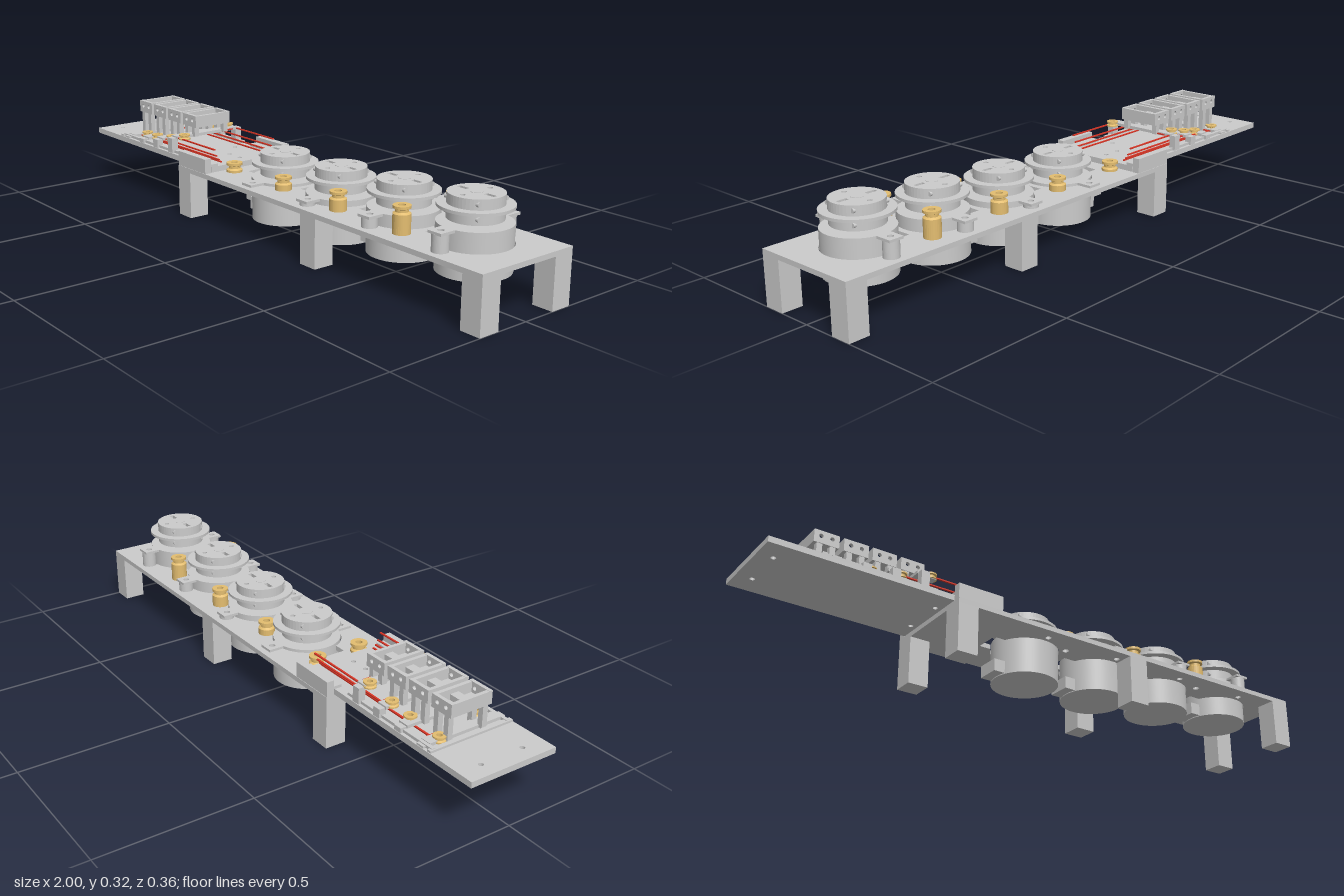
import * as THREE from 'three';

const mat = (name, color) => {
  const m = new THREE.MeshStandardMaterial({ color });
  m.name = name;
  return m;
};

export function createModel() {
  const grey = mat('light grey', 0xcbcbcb);
  const brass = mat('brass', 0xe3bd70);
  const red = mat('red', 0xdc3626);
  const model = new THREE.Group();
  model.name = 'motorRail';

  const add = (parent, name, geo, m, x = 0, y = 0, z = 0) => {
    const mesh = new THREE.Mesh(geo, m);
    mesh.name = name;
    mesh.position.set(x, y, z);
    parent.add(mesh);
    return mesh;
  };
  // box given by its limits on each axis
  const block = (parent, name, m, x0, x1, y0, y1, z0, z1) =>
    add(parent, name, new THREE.BoxGeometry(x1 - x0, y1 - y0, z1 - z0), m,
      (x0 + x1) / 2, (y0 + y1) / 2, (z0 + z1) / 2);
  const drum = (parent, name, m, r, y0, y1, n = 40) =>
    add(parent, name, new THREE.CylinderGeometry(r, r, y1 - y0, n), m, 0, (y0 + y1) / 2, 0);
  // flat plate lying on y = 0, cut from a shape in x and -z
  const slab = (shape, h) => new THREE.ExtrudeGeometry(shape,
    { depth: h, bevelEnabled: false, curveSegments: 24 }).rotateX(-Math.PI / 2);
  const rect = (C, x0, x1, y0, y1) => {
    const s = new C();
    s.moveTo(x0, y0); s.lineTo(x1, y0); s.lineTo(x1, y1); s.lineTo(x0, y1); s.closePath();
    return s;
  };
  const circle = (C, x, y, r) => {
    const s = new C();
    s.absarc(x, y, r, 0, Math.PI * 2, false);
    return s;
  };
  const { Shape, Path } = THREE;

  const motorX = [-0.035, 0.245, 0.525, 0.805];
  const motorBottom = [0.043, 0.053, 0.073, 0.095];
  const guides = [
    { x: -0.21, z: 0.08, top: 0.208 }, { x: 0.068, z: 0.089, top: 0.22 },
    { x: 0.347, z: 0.1, top: 0.237 }, { x: 0.627, z: 0.107, top: 0.26 },
  ];

  // Main deck with openings for motors, connectors, ear screws and cord guides
  const deck = rect(Shape, -0.4, 1, -0.181, 0.181);
  const a = Math.PI - Math.asin(0.042 / 0.113);
  for (const c of motorX) {
    const hole = new Path();
    hole.moveTo(c - 0.147, 0.042);
    hole.lineTo(c + 0.113 * Math.cos(a), 0.042);
    hole.absarc(c, 0, 0.113, a, -a, true);
    hole.lineTo(c - 0.147, -0.042);
    hole.closePath();
    deck.holes.push(hole);
    for (const s of [-1, 1]) deck.holes.push(circle(Path, c, s * 0.135, 0.01));
  }
  for (const p of guides.slice(1))
    for (const s of [-1, 1]) deck.holes.push(circle(Path, p.x, s * p.z, 0.011));
  add(model, 'deck', slab(deck, 0.016), grey, 0, 0.16, 0);

  // Legs
  for (const x of [-0.4, 0.265, 0.93])
    for (const s of [-1, 1])
      add(model, 'leg', new THREE.BoxGeometry(0.07, 0.161, 0.071), grey, x + 0.035, 0.0805, s * 0.1455);

  // Sliding base plate with screw holes
  const base = rect(Shape, -1, -0.24, -0.152, 0.152);
  for (const [x, z] of [[-0.95, 0.075], [-0.95, -0.075], [-0.42, 0.075], [-0.42, -0.075], [-0.35, 0], [-0.29, 0]])
    base.holes.push(circle(Path, x, z, 0.008));
  add(model, 'basePlate', slab(base, 0.019), grey, 0, 0.177, 0);

  // Side clamps that hold the base plate
  for (const s of [-1, 1]) {
    add(model, 'sideClamp', new THREE.BoxGeometry(0.16, 0.05, 0.025), grey, -0.32, 0.201, s * 0.167);
    add(model, 'clampLip', new THREE.BoxGeometry(0.16, 0.009, 0.03), grey, -0.32, 0.2005, s * 0.142);
  }

  // Motor: casing, ears, hollow posts, connector and two-step pulley
  const earPlate = rect(Shape, -0.025, 0.025, -0.16, 0.16);
  for (const s of [-1, 1]) earPlate.holes.push(circle(Path, 0, s * 0.135, 0.01));
  const post = circle(Shape, 0, 0, 0.0245);
  post.holes.push(circle(Path, 0, 0, 0.01));
  const wheel = circle(Shape, 0, 0, 0.082);
  for (const d of [-1, 1]) {
    wheel.holes.push(circle(Path, 0, d * 0.055, 0.008));
    wheel.holes.push(rect(Path, d * 0.05 - 0.017, d * 0.05 + 0.017, -0.007, 0.007));
  }
  motorX.forEach((c, i) => {
    const g = new THREE.Group();
    g.name = 'motor';
    g.position.set(c, motorBottom[i], 0);
    model.add(g);
    drum(g, 'motorCasing', grey, 0.11, 0, 0.141, 56);
    block(g, 'motorConnector', grey, -0.142, -0.09, 0.003, 0.044, -0.039, 0.039);
    add(g, 'motorEars', slab(earPlate, 0.008), grey, 0, 0.133, 0);
    const foot = 0.175 - motorBottom[i];
    if (foot < 0.131)
      for (const s of [-1, 1])
        add(g, 'earPost', slab(post, 0.133 - foot), grey, 0, foot, s * 0.136);
    drum(g, 'motorBoss', grey, 0.04, 0.14, 0.153);
    drum(g, 'lowerPulley', grey, 0.082, 0.151, 0.187, 48);
    drum(g, 'pulleyFlange', grey, 0.11, 0.185, 0.194, 56);
    add(g, 'upperPulley', slab(wheel, 0.032), grey, 0, 0.193, 0);
    drum(g, 'motorShaft', grey, 0.019, 0.193, 0.226, 24);
    // Cord anchor pegs in the pulley walls
    for (const y of [0.168, 0.21])
      for (const sx of [-1, 1])
        for (const sz of [-1, 1]) {
          const peg = add(g, 'cordPeg', new THREE.CylinderGeometry(0.007, 0.007, 0.012, 16), grey,
            sx * 0.057, y, sz * 0.055);
          peg.rotation.z = Math.PI / 2;
        }
  });

  // Brass cord guides, waisted like a spool and bored through
  const spool = (x, z, y0, y1, r) => {
    const h = y1 - y0, t = Math.min(0.008, h * 0.25), b = r * 0.42;
    const pts = [[b, 0], [r, 0], [r, h - 3 * t], [r * 0.72, h - 2.4 * t], [r * 0.72, h - 1.4 * t],
      [r, h - t], [r, h], [b, h], [b, 0]];
    const lathe = new THREE.LatheGeometry(pts.map(p => new THREE.Vector2(...p)), 28).toNonIndexed();
    lathe.computeVertexNormals();
    add(model, 'cordGuide', lathe, brass, x, y0, z);
  };
  for (const p of guides)
    for (const s of [-1, 1]) spool(p.x, s * p.z, 0.175, p.top, 0.027);

  // Sliding stages: carriage, stems and open head, with a brass guide at each end
  const stages = [
    { x: -0.79, y: 0.197, back: [-0.8, -0.09], front: [-0.751, 0.086] },
    { x: -0.693, y: 0.206, back: [-0.682, -0.096], front: [-0.66, 0.1] },
    { x: -0.597, y: 0.22, back: [-0.607, -0.102], front: [-0.559, 0.102] },
    { x: -0.5, y: 0.243, back: [-0.516, -0.112], front: [-0.463, 0.112] },
  ];
  const endWall = rect(Shape, -0.041, 0.041, 0, 0.042);
  endWall.holes.push(circle(Path, -0.018, 0.024, 0.007), circle(Path, 0.018, 0.024, 0.007));
  const endGeo = new THREE.ExtrudeGeometry(endWall, { depth: 0.012, bevelEnabled: false });
  stages.forEach(({ x, y, back, front }, i) => {
    const g = new THREE.Group();
    g.name = 'stage';
    g.position.x = x;
    model.add(g);
    block(g, 'carriage', grey, -0.018, 0.018, y, y + 0.01, -0.13, 0.13);
    for (const s of [-1, 1]) {
      block(g, 'carriageFoot', grey, -0.014, 0.014, 0.194, y + 0.005, s * 0.138 - 0.012, s * 0.138 + 0.012);
      for (const z of [-0.07, 0.055])
        block(g, 'stem', grey, s * 0.021 - 0.009, s * 0.021 + 0.009, y + 0.002, 0.283, z - 0.009, z + 0.009);
      block(g, 'headSide', grey, s * 0.035 - 0.006, s * 0.035 + 0.006, 0.279, 0.32, -0.081, 0.065);
    }
    block(g, 'headFloor', grey, -0.04, 0.04, 0.279, 0.287, -0.081, 0.065);
    for (const z of [-0.081, 0.054]) add(g, 'headEnd', endGeo, grey, 0, 0.279, z);
    block(g, 'headBridge', grey, -0.04, 0.04, 0.279, 0.305, -0.025, 0.005);

    // Guides on small arms, with pull cords running toward the motors
    for (const [gx, gz] of [back, front]) {
      const s = Math.sign(gz);
      spool(gx, gz, y + 0.002, y + 0.02, 0.02);
      block(model, 'guideArm', grey, Math.min(x, gx - 0.014), Math.max(x, gx + 0.014), y, y + 0.003, gz - 0.014, gz + 0.014);
      const z = s * (0.099 + i * 0.009);
      const cordY = y + 0.005;
      block(model, 'pullCord', red, x + 0.02, -0.26, cordY - 0.002, cordY + 0.002, z - 0.003, z + 0.003);
    }
    block(model, 'crossCord', red, x + 0.019, x + 0.024, y + 0.003, y + 0.007, -0.108, -0.07);
  });

  // Guide rails and end stop on the base plate
  for (const s of [-1, 1])
    add(model, 'guideRail', new THREE.BoxGeometry(0.38, 0.01, 0.012), grey, -0.64, 0.2, s * 0.135);
  block(model, 'endStop', grey, -0.835, -0.82, 0.195, 0.203, -0.15, 0.15);

  return model;
}
